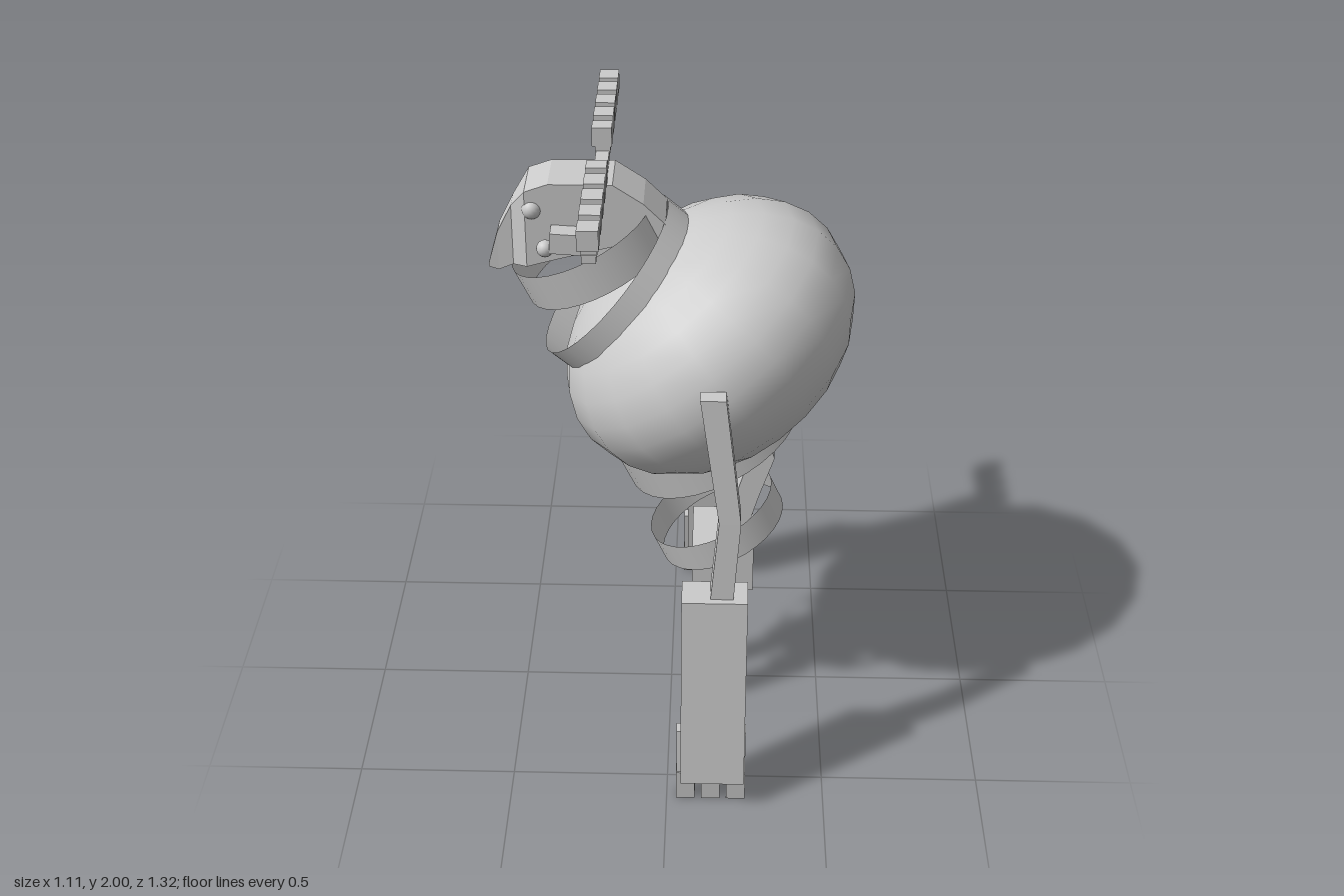
import * as THREE from 'three';

const Z0 = -0.015; // symmetry plane between the two sides
const flat = new THREE.MeshStandardMaterial({ color: 0xcccccc, flatShading: true });
const smooth = new THREE.MeshStandardMaterial({ color: 0xcccccc });
const thin = new THREE.MeshStandardMaterial({ color: 0xcccccc, side: THREE.DoubleSide });

export function createModel() {
  const model = new THREE.Group();

  function add(name, geometry, material, x = 0, y = 0, z = 0, tilt = 0, parent = model) {
    const mesh = new THREE.Mesh(geometry, material);
    mesh.name = name;
    mesh.position.set(x, y, z);
    mesh.rotation.z = tilt;
    parent.add(mesh);
    return mesh;
  }

  // Box given by its limits on each axis
  function box(name, x0, x1, y0, y1, z0, z1, parent) {
    return add(name, new THREE.BoxGeometry(x1 - x0, y1 - y0, z1 - z0), flat,
      (x0 + x1) / 2, (y0 + y1) / 2, (z0 + z1) / 2, 0, parent);
  }

  // Skin four-cornered rings, corners anticlockwise seen from the last ring
  function loft(rings) {
    const pos = [];
    const quad = (a, b, c, d) => pos.push(...a, ...b, ...c, ...a, ...c, ...d);
    for (let r = 0; r < rings.length - 1; r++) {
      const [a, b] = [rings[r], rings[r + 1]];
      for (let i = 0; i < 4; i++) {
        const j = (i + 1) % 4;
        quad(a[i], a[j], b[j], b[i]);
      }
    }
    quad(...rings[rings.length - 1]);
    quad(...[...rings[0]].reverse());
    const g = new THREE.BufferGeometry();
    g.setAttribute('position', new THREE.Float32BufferAttribute(pos, 3));
    g.computeVertexNormals();
    return g;
  }

  // Limb from the bottom up: each section is centre x, y, z and widths in x and z
  const limb = (sections) => loft(sections.map(([x, y, z, wx, wz]) =>
    [[1, 1], [1, -1], [-1, -1], [-1, 1]].map(([sx, sz]) => [x + sx * wx / 2, y, z + sz * wz / 2])));

  // Body: flattened, tilted ball
  add('body', new THREE.SphereGeometry(1, 18, 14), smooth, 0.115, 1.36, Z0, 0.67)
    .scale.set(0.49, 0.365, 0.487);

  // Open hoops
  const hoop = (name, x, y, radius, height, tilt) =>
    add(name, new THREE.CylinderGeometry(radius, radius, height, 32, 1, true), thin, x, y, -0.025, tilt);
  hoop('neckHoop', -0.16, 1.53, 0.295, 0.105, 0.87);
  hoop('headHoop', -0.245, 1.655, 0.237, 0.12, 0.45);
  hoop('bellyHoop', 0.11, 1.025, 0.295, 0.12, 0.44);
  hoop('stemHoop', 0.148, 0.668, 0.215, 0.1, 0.42);

  // Head with a narrow beak: x, bottom, top, half width
  const headSections = [
    [-0.55, 1.605, 1.615, 0.04], [-0.52, 1.595, 1.72, 0.04], [-0.475, 1.615, 1.81, 0.042],
    [-0.43, 1.63, 1.875, 0.087], [-0.36, 1.65, 1.9, 0.087], [-0.17, 1.7, 1.9, 0.087],
    [-0.08, 1.72, 1.84, 0.087], [-0.015, 1.72, 1.775, 0.087],
  ];
  add('head', loft(headSections.map(([x, b, t, w]) =>
    [[x, b, w], [x, b, -w], [x, t, -w], [x, t, w]])), flat, 0, 0, -0.022);

  // Face parts on both sides
  for (const s of [1, -1]) {
    add('eye', new THREE.SphereGeometry(0.03, 16, 12), smooth, -0.41, 1.815, -0.022 + s * 0.075);
    add('cheekBall', new THREE.SphereGeometry(0.026, 16, 12), smooth, -0.37, 1.71, -0.018 + s * 0.118);
    add('cheekBlock', new THREE.BoxGeometry(0.1, 0.065, 0.07), flat, -0.305, 1.735, -0.02 + s * 0.11, -0.06);
  }

  // Crown bar with a row of blocks on short stalks
  box('crownBar', -0.228, -0.188, 1.9, 1.925, -0.56, 0.55);
  for (const s of [1, -1]) {
    for (let i = 0; i < 5; i++) {
      const z = -0.004 + s * (0.138 + i * 0.097);
      const w = i ? 0.034 : 0.027;
      box('crownStalk', -0.23, -0.185, 1.92, 1.945, z - 0.025, z + 0.025);
      box('crownBlock', -0.24, -0.18, 1.94, 2, z - w, z + w);
    }
  }

  // Arms: bent upper arm, long slanted forearm, thumb plate and three fingers
  for (const s of [1, -1]) {
    const arm = new THREE.Group();
    arm.name = s > 0 ? 'frontArm' : 'backArm';
    arm.position.z = Z0;
    model.add(arm);
    const part = (name, sections) =>
      add(name, limb(sections.map(([x, y, z, wx, wz]) => [x, y, s * z, wx, wz])), flat, 0, 0, 0, 0, arm);
    part('upperArm', [
      [0.165, 0.75, 0.535, 0.07, 0.085], [0.187, 1.04, 0.527, 0.065, 0.07], [0.133, 1.45, 0.511, 0.075, 0.052],
    ]);
    part('forearm', [[0.145, 0.1, 0.606, 0.2, 0.11], [0.145, 0.772, 0.542, 0.2, 0.11]]);
    part('thumbPlate', [[0.14, 0.09, 0.6, 0.218, 0.04], [0.14, 0.265, 0.582, 0.218, 0.04]]);
    for (const x of [0.06, 0.14, 0.22]) {
      part('finger', [[x, 0, 0.602, 0.06, 0.035], [x, 0.11, 0.598, 0.06, 0.05]]);
    }
  }

  // Bent stem under the body, carrying the claw block
  add('stem', limb([
    [0.19, 0.6, -0.01, 0.08, 0.11], [0.245, 0.79, -0.01, 0.075, 0.11],
    [0.29, 0.94, -0.01, 0.08, 0.11], [0.245, 1.07, -0.01, 0.08, 0.11],
  ]), flat);
  box('clawBlock', 0.07, 0.27, 0.45, 0.625, -0.132, 0.095);

  // Two stepped claws
  for (const z of [0.055, -0.105]) {
    box('clawUpper', 0.115, 0.18, 0.295, 0.47, z - 0.032, z + 0.032);
    box('clawLower', 0.178, 0.24, 0.03, 0.33, z - 0.031, z + 0.031);
  }

  return model;
}
